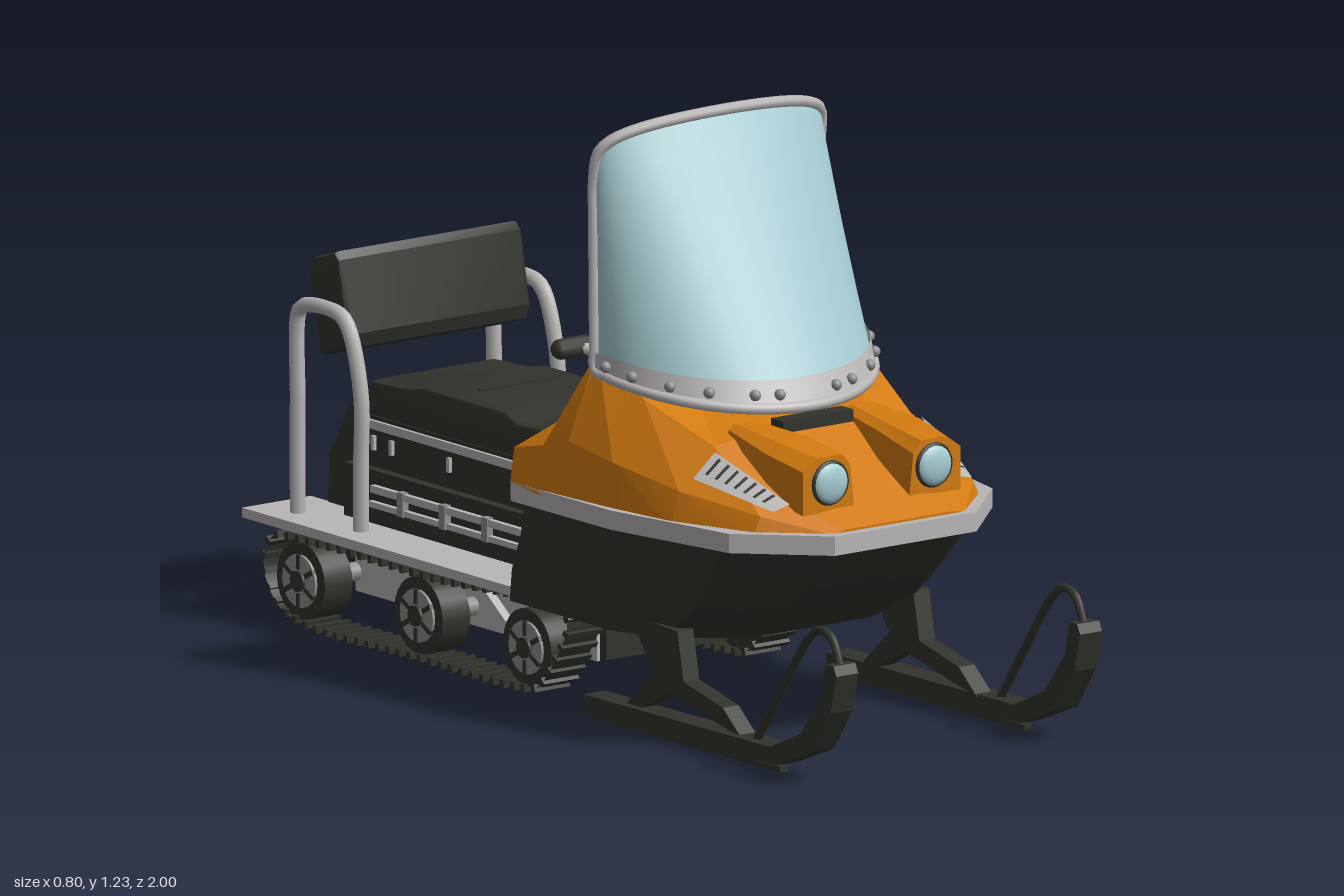
import * as THREE from 'three';
import { toCreasedNormals } from 'three/addons/utils/BufferGeometryUtils.js';

const mat = (name, color, side = THREE.FrontSide) => {
  const m = new THREE.MeshStandardMaterial({ color, side });
  m.name = name;
  return m;
};
const V = (x, y, z) => new THREE.Vector3(x, y, z);

// Solid through a list of rings ([x, y, z] points), capped at both ends, facing outwards
function loft(rings, crease = 0.4) {
  const n = rings[0].length, pts = rings.flat(), tris = [];
  for (let r = 0; r < rings.length - 1; r++) {
    for (let i = 0; i < n; i++) {
      const a = r * n + i, b = r * n + (i + 1) % n;
      tris.push([a, b, b + n], [a, b + n, a + n]);
    }
  }
  const last = (rings.length - 1) * n;
  const cap = (ring, base, flip) => {
    const c = [0, 1, 2].map(k => ring.reduce((s, p) => s + p[k], 0) / n);
    pts.push(c);
    for (let i = 0; i < n; i++) {
      const a = base + i, b = base + (i + 1) % n;
      tris.push(flip ? [b, a, pts.length - 1] : [a, b, pts.length - 1]);
    }
  };
  cap(rings[0], 0, true);
  cap(rings[rings.length - 1], last, false);
  let volume = 0;
  for (const t of tris) {
    const [a, b, c] = t.map(i => V(...pts[i]));
    volume += a.dot(b.cross(c));
  }
  const g = new THREE.BufferGeometry();
  g.setAttribute('position', new THREE.Float32BufferAttribute(pts.flat(), 3));
  g.setIndex(tris.flatMap(t => volume < 0 ? [t[0], t[2], t[1]] : t));
  return toCreasedNormals(g, crease);
}

// Open sheet from a function of u, v in 0..1
function sheet(fn, nu, nv) {
  const g = new THREE.PlaneGeometry(1, 1, nu, nv), p = g.attributes.position;
  for (let i = 0; i < p.count; i++) {
    const q = fn(p.getX(i) + 0.5, p.getY(i) + 0.5);
    p.setXYZ(i, q.x, q.y, q.z);
  }
  g.computeVertexNormals();
  return g;
}

// Side profile of [z, y] points, extruded across x
function profile(points, x, width, bevel = 0) {
  const g = new THREE.ExtrudeGeometry(new THREE.Shape(points.map(p => new THREE.Vector2(...p))), {
    depth: width - 2 * bevel, bevelEnabled: bevel > 0, bevelSize: bevel, bevelThickness: bevel,
    bevelOffset: -bevel, bevelSegments: 2 });
  g.rotateY(-Math.PI / 2);
  return g.translate(x + width / 2 - bevel, 0, 0);
}
const tube = (pts, r, closed = false, seg = 32) =>
  new THREE.TubeGeometry(new THREE.CatmullRomCurve3(pts, closed, 'centripetal'), seg, r, 8, closed);
const box = (w, h, d, x, y, z) => new THREE.BoxGeometry(w, h, d).translate(x, y, z);
const axle = (r, w, x, y, z, seg = 20) =>
  new THREE.CylinderGeometry(r, r, w, seg).rotateZ(Math.PI / 2).translate(x, y, z);
const mirrorRing = half => [...half, ...half.slice().reverse().map(([x, y, z]) => [-x, y, z])];

export function createModel() {
  const root = new THREE.Group();
  root.name = 'snowmobile';
  const orange = mat('orange paint', 0xd27a10), dark = mat('dark plastic', 0x33332d, THREE.DoubleSide);
  const silver = mat('silver trim', 0xb9b6b6, THREE.DoubleSide), steel = mat('steel', 0x8f8f92);
  const glass = mat('pale blue glass', 0xa6ccd2, THREE.DoubleSide), red = mat('red tank', 0xbe1e2d);
  const add = (name, geo, m) => {
    const mesh = new THREE.Mesh(geo, m);
    mesh.name = name;
    root.add(mesh);
    return mesh;
  };
  const both = fn => [1, -1].forEach(fn);

  // Belly pan, in level layers
  add('bellyPan', loft([
    [0.45, [[0.17, 0.77], [0.33, 0.62], [0.38, 0.3], [0.36, 0]]],
    [0.35, [[0.165, 0.69], [0.32, 0.55], [0.355, 0.3], [0.35, -0.03]]],
    [0.27, [[0.16, 0.61], [0.31, 0.48], [0.35, 0.3], [0.35, -0.06]]],
    [0.2, [[0.15, 0.48], [0.3, 0.38], [0.34, 0.25], [0.34, -0.08]]],
  ].map(([y, h]) => mirrorRing(h.map(([x, z]) => [x, y, z])))), dark);

  // Bonnet, in sections from nose to dashboard
  const sections = [
    [0.77, [[0.001, 0.475], [0.1, 0.475], [0.14, 0.475], [0.165, 0.467], [0.17, 0.46]]],
    [0.66, [[0.001, 0.53], [0.1, 0.53], [0.2, 0.52], [0.27, 0.5], [0.29, 0.46]]],
    [0.48, [[0.001, 0.62], [0.12, 0.625], [0.25, 0.61], [0.34, 0.53], [0.36, 0.46]]],
    [0.3, [[0.001, 0.66], [0.15, 0.66], [0.29, 0.68], [0.37, 0.56], [0.385, 0.46]]],
    [0.16, [[0.001, 0.72], [0.15, 0.72], [0.3, 0.75], [0.375, 0.58], [0.395, 0.46]]],
  ].map(([z, h]) => h.map(([x, y]) => [x, y, z]));
  add('bonnet', loft(sections.map(mirrorRing), 0.2), orange);
  add('dashboard', profile([[0.2, 0.44], [0.2, 0.69], [0.14, 0.69], [0.02, 0.44]], 0, 0.64), dark);
  add('centreVent', box(0.18, 0.025, 0.04, 0, 0.63, 0.48), dark);

  // Bumper strip around the nose
  const edge = [[0.4, 0], [0.397, 0.33], [0.335, 0.64], [0.18, 0.79]];
  const around = [...edge, ...edge.slice().reverse().map(([x, z]) => [-x, z])];
  const inner = around.map(([x, z]) => [x * 0.9, z * 0.95]).reverse();
  const strip = new THREE.Shape([...around, ...inner].map(([x, z]) => new THREE.Vector2(x, -z)));
  add('bumper', new THREE.ExtrudeGeometry(strip, { depth: 0.04, bevelEnabled: false })
    .rotateX(-Math.PI / 2).translate(0, 0.43, 0), silver);

  both(s => {
    // Side wing of the bonnet beside the cockpit
    add('bonnetWing', loft([
      [0.16, [[0.28, 0.75], [0.3, 0.755], [0.375, 0.58], [0.395, 0.46], [0.3, 0.46]]],
      [0.09, [[0.31, 0.6], [0.33, 0.61], [0.385, 0.56], [0.4, 0.46], [0.32, 0.46]]],
      [0, [[0.34, 0.53], [0.35, 0.54], [0.39, 0.54], [0.4, 0.47], [0.34, 0.47]]],
    ].map(([z, h]) => h.map(([x, y]) => [s * x, y, z]))), orange);

    // Headlight pod and lens
    add('headlightPod', loft([
      [0.71, [[0.07, 0.5], [0.08, 0.59], [0.1, 0.615], [0.165, 0.615], [0.2, 0.59], [0.2, 0.5]]],
      [0.6, [[0.07, 0.53], [0.08, 0.615], [0.1, 0.63], [0.18, 0.63], [0.21, 0.61], [0.21, 0.52]]],
      [0.45, [[0.09, 0.59], [0.1, 0.63], [0.12, 0.64], [0.17, 0.64], [0.19, 0.63], [0.2, 0.59]]],
    ].map(([z, h]) => h.map(([x, y]) => [s * x, y, z]))), orange);
    add('headlightRim', new THREE.TorusGeometry(0.042, 0.005, 6, 24).translate(s * 0.132, 0.56, 0.711), dark);
    add('headlightLens', new THREE.SphereGeometry(0.042, 20, 12).scale(1, 1, 0.35)
      .translate(s * 0.132, 0.56, 0.712), glass);

    // Louvred vent lying on the bonnet shoulder
    const [b1, c1, b2, c2] = [sections[2][2], sections[2][3], sections[1][2], sections[1][3]].map(p => V(...p));
    const patch = (s0, s1, t0, t1, lift) => sheet((u, v) => {
      const a = s0 + (s1 - s0) * u, t = t0 + (t1 - t0) * v;
      const p = b1.clone().lerp(c1, a).lerp(b2.clone().lerp(c2, a), t);
      return V(s * (p.x + lift * 0.5), p.y + lift * 0.8, p.z + lift * 0.4);
    }, 2, 4);
    add('ventPlate', patch(0.12, 0.75, 0.08, 1.08, 0.012), silver);
    for (let i = 0; i < 7; i++) {
      const t = 0.17 + i * 0.12;
      add('ventSlit', patch(0.2, 0.6, t, t + 0.035, 0.017), dark);
    }

    // Handlebar and grip
    add('handlebar', tube([V(s * 0.1, 0.58, 0.15), V(s * 0.13, 0.64, 0.09), V(s * 0.16, 0.7, 0.03),
      V(s * 0.21, 0.72, -0.01)], 0.013), silver);
    add('grip', new THREE.CapsuleGeometry(0.022, 0.06, 4, 10).rotateZ(Math.PI / 2)
      .translate(s * 0.225, 0.72, -0.02), dark);

    // Ski with front loop and leg
    add('ski', profile([[0.16, 0.01], [0.16, 0.05], [0.78, 0.055], [0.88, 0.1], [0.95, 0.19], [0.965, 0.26],
      [0.99, 0.26], [1, 0.24], [0.98, 0.16], [0.92, 0.07], [0.8, 0.02]], s * 0.31, 0.056), dark);
    add('skiRunner', box(0.02, 0.012, 0.62, s * 0.31, 0.006, 0.48), dark);
    add('skiLoop', tube([V(s * 0.31, 0.24, 0.98), V(s * 0.31, 0.305, 0.95), V(s * 0.31, 0.318, 0.91),
      V(s * 0.31, 0.29, 0.87), V(s * 0.31, 0.18, 0.79), V(s * 0.31, 0.05, 0.7)], 0.009), dark);
    add('skiLeg', profile([[0.45, 0.23], [0.47, 0.13], [0.6, 0.1], [0.66, 0.05], [0.58, 0.065], [0.42, 0.1],
      [0.33, 0.05], [0.28, 0.05], [0.37, 0.13], [0.29, 0.24]], s * 0.3, 0.04), dark);

    // Running board and side rails
    add('runningBoard', box(0.175, 0.02, 1.05, s * 0.2275, 0.21, -0.475), silver);
    add('sideRail', box(0.012, 0.015, 0.58, s * 0.198, 0.295, -0.43), silver);
    add('lowerRail', box(0.012, 0.012, 0.62, s * 0.196, 0.262, -0.42), silver);
    for (const z of [-0.2, -0.34, -0.48, -0.62]) {
      add('railBracket', box(0.02, 0.05, 0.02, s * 0.196, 0.28, z), steel);
    }
    add('seatStrip', box(0.008, 0.018, 0.62, s * 0.172, 0.418, -0.46), silver);
    for (const z of [-0.19, -0.25, -0.5, -0.69, -0.75]) {
      add('seatStud', box(0.008, 0.03, 0.01, s * 0.172, 0.38, z), silver);
    }

    // Backrest frame
    add('backrestFrame', tube([[0.22, -0.69], [0.36, -0.69], [0.5, -0.69], [0.63, -0.73], [0.655, -0.76],
      [0.655, -0.87], [0.64, -0.895], [0.45, -0.9], [0.22, -0.9]].map(([y, z]) => V(s * 0.25, y, z)),
    0.016, false, 60), silver);

    // Track belt with cleats
    const loop = new THREE.CatmullRomCurve3([[0.07, 0.185], [0.03, 0.09], [-0.03, 0.025], [-0.1, 0.014],
      [-0.45, 0.014], [-0.8, 0.014], [-0.89, 0.04], [-0.935, 0.11], [-0.91, 0.175], [-0.8, 0.188],
      [-0.4, 0.188]].map(([z, y]) => V(0, y, z)), true, 'centripetal');
    add('trackBelt', sheet((u, v) => loop.getPointAt(v % 1).setX(s * (0.225 + u * 0.085)), 1, 90), dark);
    for (let i = 0; i < 64; i++) {
      const p = loop.getPointAt(i / 64), d = loop.getTangentAt(i / 64);
      const cleat = add('trackCleat', box(0.09, 0.016, 0.012, 0, 0, 0), dark);
      cleat.position.set(s * 0.268, p.y, p.z);
      cleat.rotation.x = Math.atan2(-d.y, d.z);
    }

    // Road wheels with spoked hubs
    for (const z of [-0.07, -0.43, -0.82]) {
      add('tyre', axle(0.08, 0.07, s * 0.268, 0.1, z, 24), dark);
      add('wheelDisc', axle(0.055, 0.008, s * 0.305, 0.1, z), steel);
      add('wheelHub', axle(0.022, 0.02, s * 0.305, 0.1, z, 12), dark);
      for (let k = 0; k < 6; k++) {
        const spoke = add('wheelSpoke', box(0.008, 0.03, 0.01, 0, 0.04, 0), dark);
        spoke.position.set(s * 0.308, 0.1, z);
        spoke.rotation.x = k * Math.PI / 3;
      }
      add('wheelAxle', axle(0.02, 0.1, s * 0.2, 0.1, z, 12), steel);
    }
    add('skidPlate', box(0.008, 0.1, 0.8, s * 0.16, 0.11, -0.42), silver);
    add('skidStrut', profile([[-0.22, 0.1], [-0.26, 0.1], [-0.39, 0.18], [-0.33, 0.18]], s * 0.22, 0.02), silver);
  });

  // Tunnel, seat, console and rear box
  add('tunnel', box(0.38, 0.12, 0.85, 0, 0.27, -0.4), dark);
  add('centreSkid', box(0.31, 0.14, 0.86, 0, 0.135, -0.43), dark);
  add('seatBase', box(0.336, 0.11, 0.64, 0, 0.38, -0.47), dark);
  add('seatCushion', toCreasedNormals(profile([[-0.15, 0.42], [-0.15, 0.49], [-0.18, 0.51], [-0.29, 0.505],
    [-0.33, 0.522], [-0.6, 0.522], [-0.66, 0.51], [-0.77, 0.505], [-0.79, 0.48], [-0.78, 0.42]], 0, 0.33, 0.015), 0.5), dark);
  add('seatSeam', box(0.19, 0.006, 0.008, 0, 0.523, -0.5), dark);
  add('console', profile([[-0.16, 0.22], [-0.16, 0.47], [-0.08, 0.49], [0.12, 0.52], [0.12, 0.22]], 0, 0.28), dark);
  add('rearBox', profile([[-0.77, 0.2], [-0.77, 0.45], [-0.86, 0.45], [-0.88, 0.42], [-0.94, 0.32], [-0.945, 0.2]],
    0, 0.29, 0.012), dark);

  // Backrest cushion
  add('backrest', toCreasedNormals(profile([[-0.765, 0.58], [-0.755, 0.61], [-0.785, 0.76], [-0.8, 0.775],
    [-0.875, 0.75], [-0.89, 0.73], [-0.85, 0.56], [-0.835, 0.555]], 0, 0.47, 0.012), 0.5), dark);

  // Fuel can and its cap
  add('fuelCan', profile([[0.03, 0.53], [-0.115, 0.53], [-0.135, 0.5], [-0.135, 0.32], [-0.1, 0.305], [0.03, 0.32]],
    0.175, 0.07, 0.008), red);
  add('fuelCap', new THREE.CylinderGeometry(0.028, 0.028, 0.03, 14).translate(0.175, 0.54, 0.005), dark);

  // Windscreen: curved foot blended up to a flatter, raked top
  const screen = (u, v, out = 0) => {
    const a = (u - 0.5) * Math.PI, c = Math.max(0, Math.cos(a)), x = Math.sin(a);
    const foot = V(0.315 * x, 0.66 + 0.06 * (1 - c), 0.17 + 0.31 * c);
    const top = V(0.288 * x, 1.09 + 0.13 * Math.pow(c, 0.35), 0.13 + 0.06 * c);
    return foot.lerp(top, v).add(V(out * x, 0, out * c));
  };
  add('windscreen', sheet((u, v) => screen(u, v), 28, 8), glass);
  add('windscreenBand', sheet((u, v) => screen(u, v * 0.1, 0.006), 28, 1), silver);
  const rim = [];
  for (let i = 0; i < 24; i++) rim.push(screen(i / 24, 0));
  for (let i = 0; i < 8; i++) rim.push(screen(1, i / 8));
  for (let i = 0; i < 24; i++) rim.push(screen(1 - i / 24, 1));
  for (let i = 0; i < 8; i++) rim.push(screen(0, 1 - i / 8));
  add('windscreenFrame', tube(rim, 0.012, true, 140), silver);
  for (const x of [0.07, 0.12, 0.2, 0.255, 0.295, 0.312]) {
    both(s => {
      const p = screen(0.5 + s * Math.asin(x / 0.315) / Math.PI, 0.05, 0.008);
      add('screenRivet', new THREE.SphereGeometry(0.012, 10, 8).translate(p.x, p.y, p.z), steel);
    });
  }
  return root;
}
